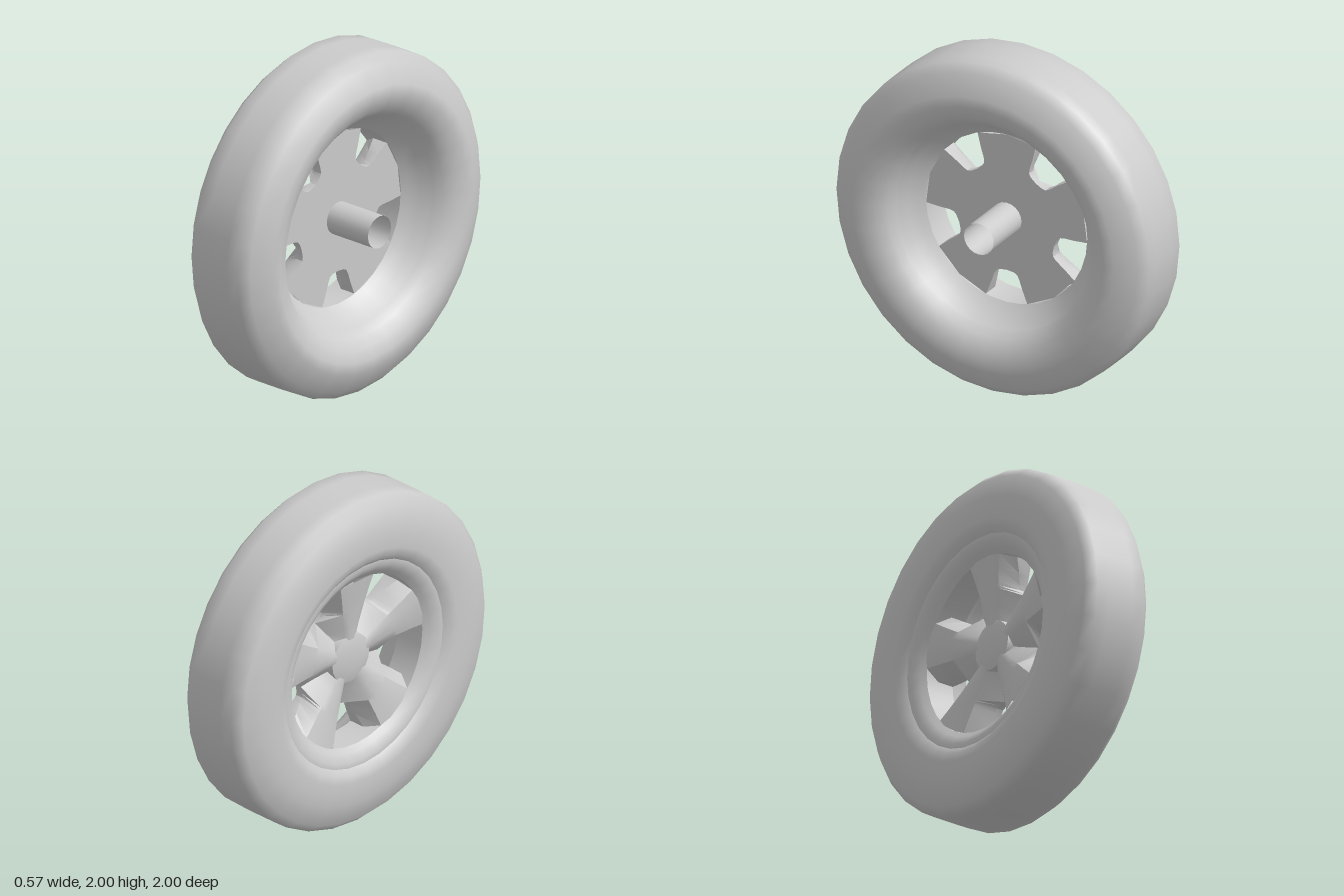
import * as THREE from 'three';
import { toCreasedNormals } from 'three/addons/utils/BufferGeometryUtils.js';

const grey = new THREE.MeshStandardMaterial({ color: 0xcccccc, side: THREE.DoubleSide });

function mesh(name, geometry) {
  const m = new THREE.Mesh(geometry, grey);
  m.name = name;
  return m;
}

// Turned part about the x axis; points are [x, radius]
function turned(name, points, segments, crease) {
  let g = new THREE.LatheGeometry(points.map(([x, r]) => new THREE.Vector2(r, x)), segments);
  g.rotateZ(-Math.PI / 2);
  if (crease) g = toCreasedNormals(g, crease);
  return mesh(name, g);
}

const SECTOR = Math.PI / 5;   // half of one fifth of the wheel
const BACK = -0.02;           // x of the flat back plate

// Rows from hub to rim: radius, window half width, edge x, crest x, crest half width
const spokeRows = [
  [0.001, 0, -0.14, -0.14, 0.0004],
  [0.10, 0, -0.14, -0.145, 0.04],
  [0.15, 0, -0.11, -0.148, 0.045],
  [0.22, 0, -0.085, -0.156, 0.06],
  [0.318, 0, -0.06, -0.17, 0.08],
  [0.326, 0.045, -0.06, -0.171, 0.082],
  [0.34, 0.066, -0.065, -0.173, 0.085],
  [0.368, 0.08, -0.07, -0.177, 0.092],
  [0.43, 0.1, -0.09, -0.187, 0.107],
  [0.514, 0.132, -0.12, -0.2, 0.13],
];

// One fifth of the wheel centre: a flared spoke on its piece of back plate
function spokeGeometry() {
  const pos = [], index = [];
  for (const [r, w, edge, crest, half] of spokeRows) {
    const a = SECTOR - Math.asin(w / r), c = half / r;
    const loop = [
      [BACK, -a], [BACK, 0], [BACK, a], [edge, a],
      [crest, c], [crest - 0.012, c * 0.45], [crest - 0.012, -c * 0.45], [crest, -c], [edge, -a],
    ];
    for (const [x, t] of loop) pos.push(x, r * Math.cos(t), r * Math.sin(t));
  }
  const n = 9;
  for (let j = 0; j < spokeRows.length - 1; j++) {
    for (let i = 0; i < n; i++) {
      const k = (i + 1) % n;
      const a = j * n + i, b = j * n + k, d = a + n, e = b + n;
      index.push(a, d, e, a, e, b);
    }
  }
  const g = new THREE.BufferGeometry();
  g.setAttribute('position', new THREE.Float32BufferAttribute(pos, 3));
  g.setIndex(index);
  return toCreasedNormals(g, 0.6);
}

export function createModel() {
  const model = new THREE.Group();
  model.name = 'wheel';
  const wheel = new THREE.Group();
  wheel.name = 'wheelAssembly';
  wheel.position.y = 1;
  model.add(wheel);

  // Tyre, from the outer lip over the tread to the recessed inner lip
  wheel.add(turned('tyre', [
    [-0.255, 0.62], [-0.282, 0.655], [-0.29, 0.7], [-0.287, 0.76], [-0.285, 0.83],
    [-0.255, 0.95], [-0.2, 0.998], [-0.12, 1], [0.05, 1], [0.13, 0.998],
    [0.18, 0.95], [0.242, 0.835], [0.24, 0.77], [0.215, 0.7], [0.17, 0.65], [0.12, 0.62],
  ], 32));

  // Rim: inner cone, barrel and outer lip
  wheel.add(turned('rim', [
    [0.12, 0.62], [0.06, 0.585], [0.01, 0.545], [-0.02, 0.515],
    [-0.2, 0.515], [-0.225, 0.545], [-0.255, 0.59], [-0.255, 0.62],
  ], 32, 0.6));

  // Five spokes with windows between them
  const spoke = spokeGeometry();
  for (let i = 0; i < 5; i++) {
    const s = mesh('spoke', spoke);
    s.rotation.x = i * SECTOR * 2;
    wheel.add(s);
  }

  // Domed hub cap
  wheel.add(turned('hubCap', [
    [-0.17, 0], [-0.168, 0.06], [-0.162, 0.11], [-0.152, 0.145], [-0.11, 0.15],
  ], 20, 0.6));

  // Open axle sleeve
  const axle = new THREE.CylinderGeometry(0.095, 0.095, 0.305, 20, 1, true);
  axle.rotateZ(-Math.PI / 2);
  axle.translate(0.1325, 0, 0);
  wheel.add(mesh('axle', axle));

  return model;
}
